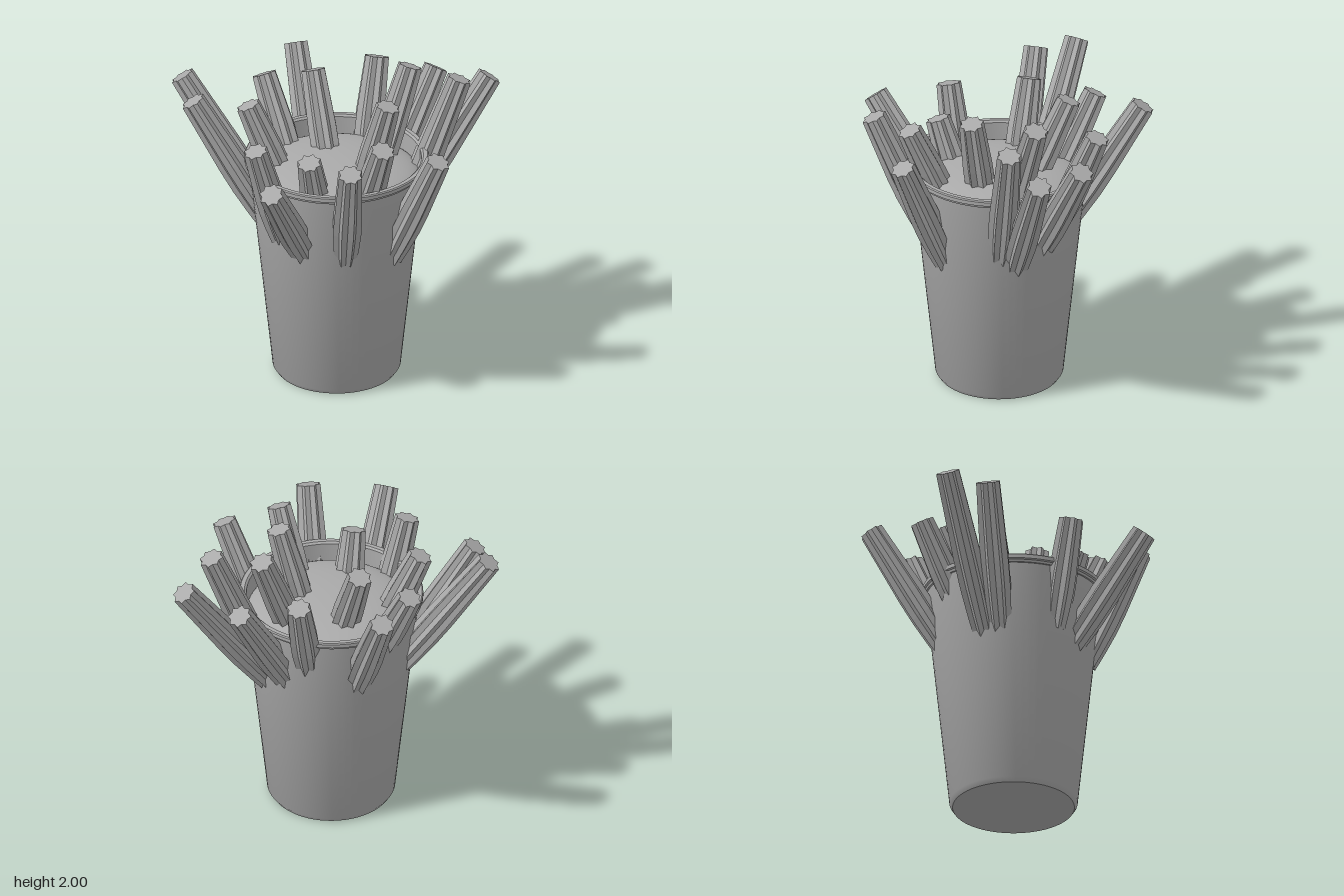
import * as THREE from 'three';
import { toCreasedNormals } from 'three/addons/utils/BufferGeometryUtils.js';

const CX = 0.125, CZ = -0.07; // cup axis

// Each stick: tip x, y, z, then a lower point on its axis x, y, z
const STICKS = [
  [-0.42, 1.84, -0.80, -0.19, 1.20, -0.48],
  [0.13, 1.85, -0.79, 0.14, 1.40, -0.60],
  [0.49, 1.79, -0.89, 0.32, 1.17, -0.53],
  [0.88, 1.84, -0.81, 0.49, 1.08, -0.43],
  [0.78, 1.94, -0.53, 0.55, 1.20, -0.34],
  [0.45, 1.97, -0.53, 0.34, 1.43, -0.33],
  [-0.49, 1.80, -0.41, -0.31, 1.40, -0.30],
  [-0.16, 1.89, -0.41, -0.02, 1.43, -0.26],
  [-0.90, 1.90, -0.03, -0.40, 1.15, -0.05],
  [-0.75, 1.85, 0.18, -0.38, 1.18, 0.07],
  [-0.43, 1.81, 0.04, -0.27, 1.43, 0.01],
  [0.47, 1.91, -0.07, 0.35, 1.45, -0.06],
  [0.58, 1.81, 0.32, 0.45, 1.43, 0.21],
  [0.48, 1.78, 0.64, 0.37, 1.20, 0.41],
  [0.90, 1.72, 0.18, 0.63, 1.12, 0.10],
  [0.04, 1.68, 0.89, 0.06, 1.12, 0.45],
  [0.11, 1.67, 0.39, 0.11, 1.42, 0.30],
  [-0.21, 1.75, 0.50, -0.13, 1.28, 0.38],
];

// Turned part with hard edges kept sharp
function lathe(name, points, material) {
  const geo = new THREE.LatheGeometry(points.map(([r, y]) => new THREE.Vector2(r, y)), 64);
  const mesh = new THREE.Mesh(toCreasedNormals(geo, 0.5), material);
  mesh.name = name;
  mesh.position.set(CX, 0, CZ);
  return mesh;
}

// Ridged stick, star-shaped in section, slightly swollen below the middle
function ridgedStick([tx, ty, tz, bx, by, bz], material) {
  const tip = new THREE.Vector3(tx, ty, tz);
  const low = new THREE.Vector3(bx, by, bz);
  const dir = tip.clone().sub(low).normalize();
  const length = tip.distanceTo(low) + 0.22;
  const sides = 16;
  const geo = new THREE.CylinderGeometry(1, 1, length, sides, 6);
  const pos = geo.attributes.position;
  for (let i = 0; i < pos.count; i++) {
    const x = pos.getX(i), y = pos.getY(i), z = pos.getZ(i);
    if (Math.hypot(x, z) < 0.1) continue;
    const t = y / length + 0.5;
    const step = Math.round((Math.atan2(x, z) / (2 * Math.PI)) * sides + sides);
    const swell = t < 0.45
      ? THREE.MathUtils.lerp(0.075, 0.098, Math.sin((t / 0.45) * Math.PI / 2))
      : THREE.MathUtils.lerp(0.098, 0.08, (t - 0.45) / 0.55);
    const r = swell * (step % 2 ? 0.77 : 1);
    pos.setXYZ(i, x * r, y, z * r);
  }
  const flat = geo.toNonIndexed();
  flat.computeVertexNormals();
  const mesh = new THREE.Mesh(flat, material);
  mesh.name = 'ridgedStick';
  mesh.position.copy(tip).addScaledVector(dir, -length / 2);
  mesh.quaternion.setFromUnitVectors(new THREE.Vector3(0, 1, 0), dir);
  return mesh;
}

export function createModel() {
  const grey = new THREE.MeshStandardMaterial({ color: 0xaaaaaa });
  grey.name = 'grey';
  const group = new THREE.Group();
  group.name = 'cupOfSticks';

  // Tapered cup with a bevelled foot
  group.add(lathe('cupWall', [[0, 0], [0.385, 0], [0.405, 0.03], [0.555, 1.46]], grey));

  // Stepped rim and the inside of the wall
  group.add(lathe('cupRim', [
    [0.55, 1.45], [0.565, 1.45], [0.57, 1.465], [0.582, 1.47], [0.582, 1.495],
    [0.575, 1.502], [0.548, 1.502], [0.535, 1.49], [0.525, 1.3],
  ], grey));

  // Domed filling
  const dome = [];
  for (let i = 0; i <= 14; i++) {
    const a = (i / 14) * Math.PI / 2;
    dome.push([0.532 * Math.cos(a), 1.35 + 0.12 * Math.sin(a)]);
  }
  group.add(lathe('domedFilling', dome, grey));

  // Sticks fanning out of the cup
  const sticks = new THREE.Group();
  sticks.name = 'sticks';
  for (const s of STICKS) sticks.add(ridgedStick(s, grey));
  group.add(sticks);
  return group;
}
